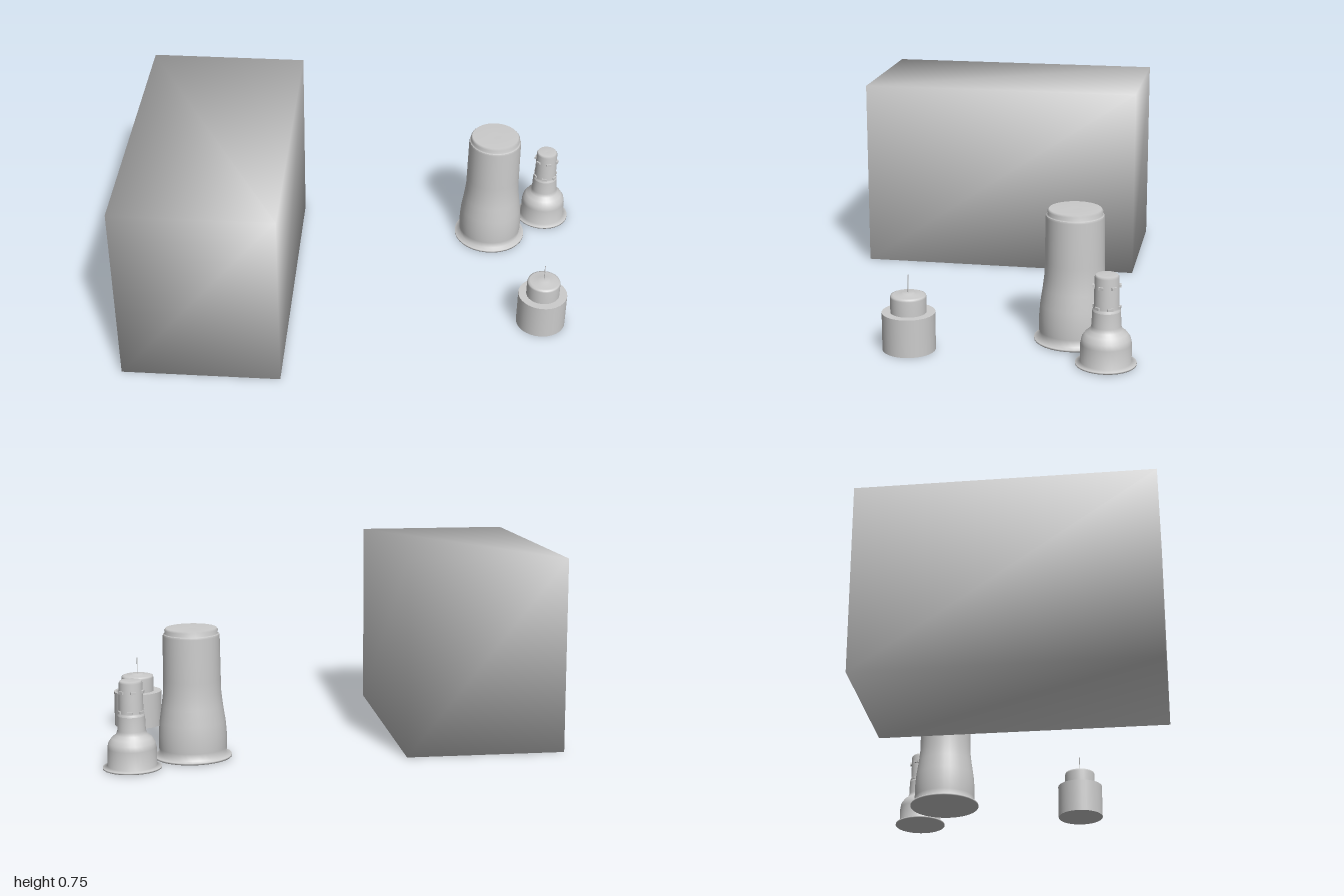
import * as THREE from 'three';
import { mergeVertices } from 'three/addons/utils/BufferGeometryUtils.js';

const grey = new THREE.MeshStandardMaterial({ color: 0xcccccc });

function add(parent, name, geometry, x = 0, y = 0, z = 0) {
  const mesh = new THREE.Mesh(geometry, grey);
  mesh.name = name;
  mesh.position.set(x, y, z);
  parent.add(mesh);
  return mesh;
}

// Revolved solid from [radius, height] pairs, listed bottom to top
function turned(points, sides = 32) {
  return new THREE.LatheGeometry(points.map(([r, y]) => new THREE.Vector2(r, y)), sides);
}

// Box whose faces share corner normals, so it shades softly
function softBox(w, h, d) {
  const box = new THREE.BoxGeometry(w, h, d);
  box.deleteAttribute('normal');
  box.deleteAttribute('uv');
  const soft = mergeVertices(box);
  soft.computeVertexNormals();
  return soft;
}

function group(parent, name, x, z) {
  const g = new THREE.Group();
  g.name = name;
  g.position.set(x, 0, z);
  parent.add(g);
  return g;
}

export function createModel() {
  const model = new THREE.Group();
  model.name = 'boxAndBottles';

  // Large carton, turned on the ground
  const carton = add(model, 'carton', softBox(1.11, 0.745, 0.61), -0.37, 0.3725, -0.32);
  carton.rotation.y = 0.65;

  // Tall bottle with a flared base and a stepped lid
  const bottle = group(model, 'tallBottle', 0.637, 0.3);
  add(bottle, 'bottleBody', turned([
    [0, 0], [0.146, 0.003], [0.146, 0.01], [0.125, 0.013], [0.128, 0.04], [0.128, 0.09],
    [0.124, 0.14], [0.115, 0.2], [0.109, 0.25], [0.108, 0.3], [0.106, 0.465], [0.104, 0.472],
  ]));
  add(bottle, 'bottleLid', turned([
    [0.104, 0.472], [0.098, 0.475], [0.1, 0.488], [0.094, 0.495], [0, 0.493],
  ]));

  // Small bottle with a narrow stepped neck
  const flask = group(model, 'smallBottle', 0.89, 0.395);
  add(flask, 'flaskBody', turned([
    [0, 0], [0.108, 0.003], [0.108, 0.009], [0.09, 0.013], [0.09, 0.08], [0.086, 0.1],
    [0.074, 0.118], [0.058, 0.13], [0.052, 0.145], [0.05, 0.2],
  ]));
  add(flask, 'flaskNeck', turned([
    [0.05, 0.2], [0.048, 0.207], [0.045, 0.212], [0.043, 0.322], [0.038, 0.33], [0, 0.328],
  ]));

  // Two rows of small lugs around the neck
  for (const [row, y] of [0.215, 0.29].entries()) {
    for (let i = 0; i < 6; i++) {
      const a = (i / 6) * Math.PI * 2 + row * 0.3;
      const lug = add(flask, 'neckLug', new THREE.BoxGeometry(0.02, 0.01, 0.012),
        Math.sin(a) * 0.044, y, Math.cos(a) * 0.044);
      lug.rotation.y = a;
    }
  }

  // Low jar: drum, cap and a fine needle
  const jar = group(model, 'lowJar', 0.305, 0.803);
  add(jar, 'jarDrum', new THREE.CylinderGeometry(0.096, 0.096, 0.14, 32), 0, 0.07);
  add(jar, 'jarCap', turned([
    [0.065, 0.139], [0.065, 0.196], [0.063, 0.203], [0.055, 0.206], [0.024, 0.207],
    [0.022, 0.212], [0, 0.212],
  ]));
  add(jar, 'jarNeedle', new THREE.CylinderGeometry(0.0015, 0.0015, 0.07, 8), 0, 0.243);

  return model;
}
